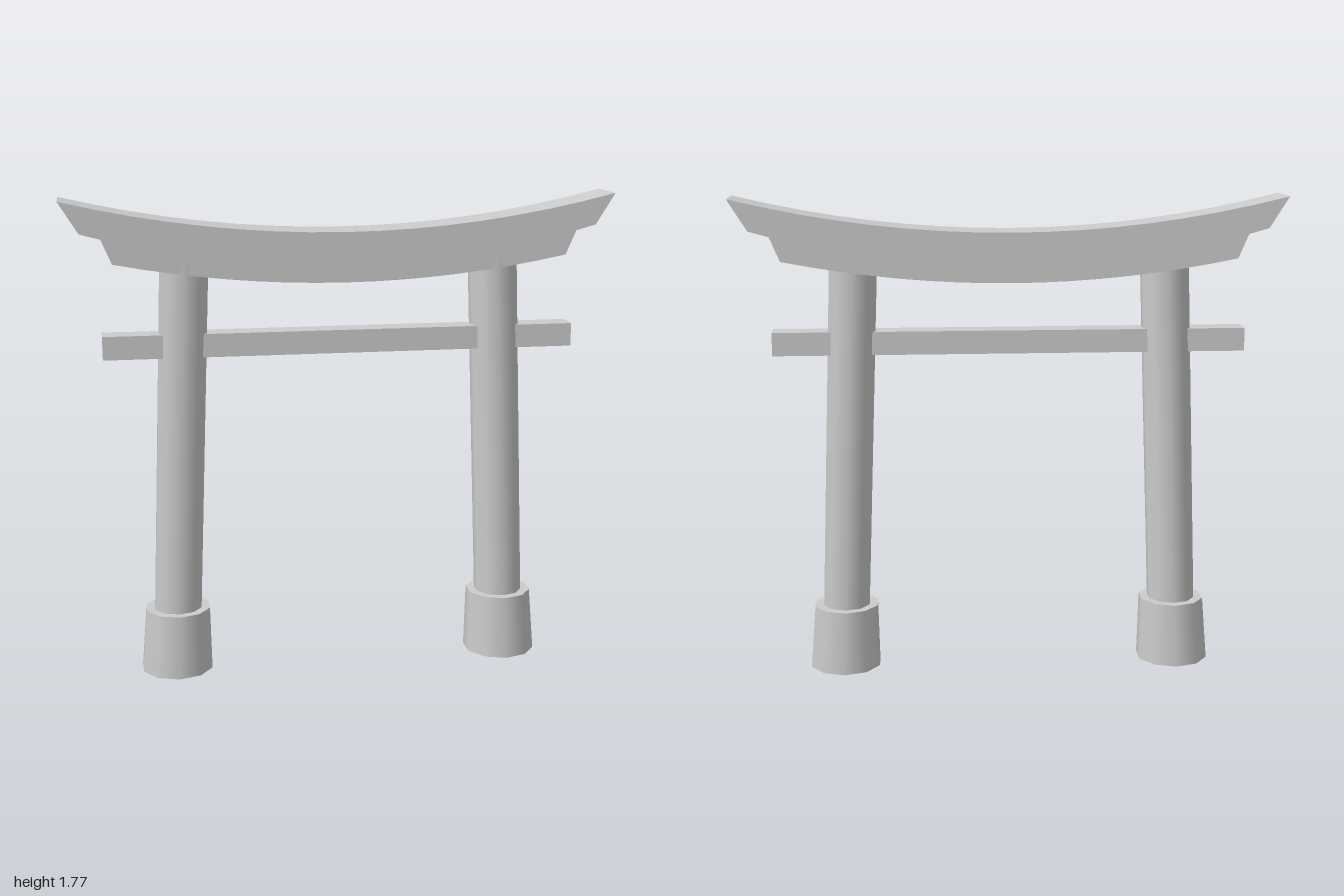
import * as THREE from 'three';
import { toCreasedNormals } from 'three/addons/utils/BufferGeometryUtils.js';

const material = new THREE.MeshStandardMaterial({ color: 0xcccccc });
const openMaterial = new THREE.MeshStandardMaterial({ color: 0xcccccc, side: THREE.DoubleSide });

// Ten-sided tube between two heights whose axis leans from xBottom to xTop
function leaningPost(name, side, y0, y1, xBottom, xTop, rBottom, rTop) {
  const height = y1 - y0;
  const geometry = new THREE.CylinderGeometry(rTop, rBottom, height, 10, 1, true);
  geometry.translate(0, height / 2, 0);
  const pos = geometry.attributes.position;
  for (let i = 0; i < pos.count; i++) {
    const t = pos.getY(i) / height;
    pos.setX(i, pos.getX(i) + side * THREE.MathUtils.lerp(xBottom, xTop, t));
  }
  geometry.translate(0, y0, 0);
  geometry.computeBoundingSphere();
  const mesh = new THREE.Mesh(geometry, openMaterial);
  mesh.name = name;
  return mesh;
}

// Upward-curving lintel with stepped, slanted ends
function curvedLintel() {
  const sag = (x, y) => y + 0.123 * x * x;
  const steps = 16;
  const points = [];
  for (let i = 0; i <= steps; i++) {
    const x = -0.82 + (1.64 * i) / steps;
    points.push(new THREE.Vector2(x, sag(x, 1.465)));
  }
  points.push(new THREE.Vector2(0.857, 1.635), new THREE.Vector2(0.93, 1.655));
  for (let i = 0; i <= steps; i++) {
    const x = 1 - (2 * i) / steps;
    points.push(new THREE.Vector2(x, sag(x, 1.645)));
  }
  points.push(new THREE.Vector2(-0.93, 1.655), new THREE.Vector2(-0.857, 1.635));
  const geometry = new THREE.ExtrudeGeometry(new THREE.Shape(points), { depth: 0.179, bevelEnabled: false });
  geometry.translate(0, 0, -0.093);
  const mesh = new THREE.Mesh(toCreasedNormals(geometry, Math.PI / 9), material);
  mesh.name = 'curvedLintel';
  return mesh;
}

export function createModel() {
  const gate = new THREE.Group();
  gate.name = 'gate';
  gate.add(curvedLintel());

  // Straight tie beam passing through both posts
  const beam = new THREE.Mesh(new THREE.BoxGeometry(1.728, 0.085, 0.089), material);
  beam.position.set(0, 1.243, 0.002);
  beam.name = 'tieBeam';
  gate.add(beam);

  for (const [label, side] of [['left', 1], ['right', -1]]) {
    // Post, and its flared footing, open underneath
    gate.add(leaningPost(label + 'Post', side, 0.2, 1.54, 0.621, 0.566, 0.09, 0.09));
    gate.add(leaningPost(label + 'Footing', side, 0, 0.24, 0.628, 0.62, 0.136, 0.123));

    // Flat top of the footing
    const cap = new THREE.Mesh(new THREE.CircleGeometry(0.123, 10, Math.PI / 2), openMaterial);
    cap.rotation.x = -Math.PI / 2;
    cap.position.set(side * 0.62, 0.24, 0);
    cap.name = label + 'FootingTop';
    gate.add(cap);
  }
  return gate;
}
